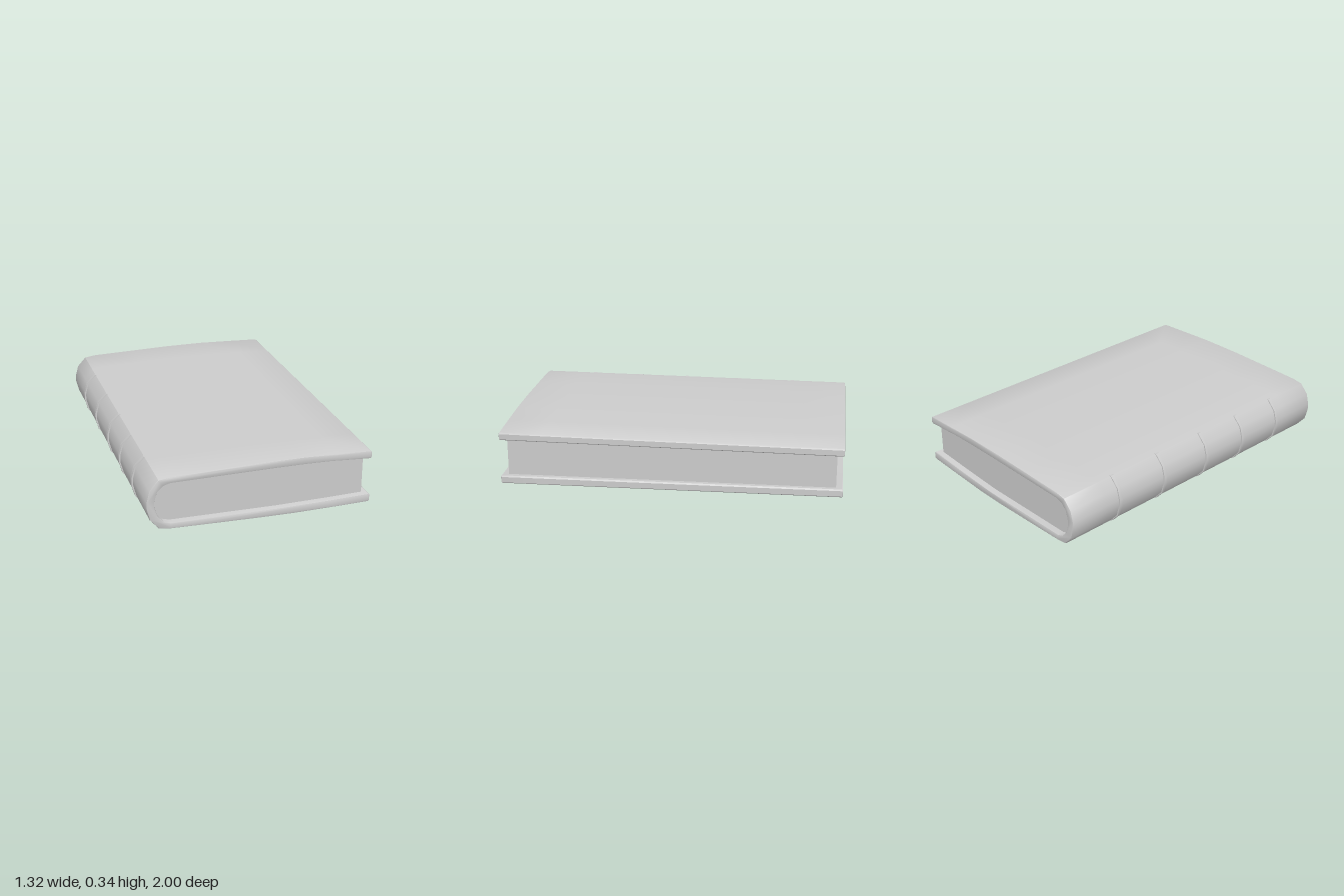
import * as THREE from 'three';
import { toCreasedNormals } from 'three/addons/utils/BufferGeometryUtils.js';

const material = new THREE.MeshStandardMaterial({ color: 0xcccccc });

// Rounded spine of the case, from upper to lower hinge, outside and inside
const spineOuter = [[-0.52, 0.328], [-0.585, 0.318], [-0.637, 0.262], [-0.655, 0.195],
  [-0.655, 0.155], [-0.637, 0.085], [-0.585, 0.025], [-0.52, 0.017]];
const spineInner = [[-0.52, 0.292], [-0.56, 0.28], [-0.595, 0.245], [-0.61, 0.19],
  [-0.61, 0.16], [-0.595, 0.105], [-0.56, 0.065], [-0.52, 0.053]];
// Slightly bowed boards, from hinge toward fore edge
const upperInner = [[0.05, 0.298], [0.25, 0.298], [0.4, 0.295]];
const lowerInner = [[0.1, 0.047], [0.4, 0.051]];

const toShape = (points) => new THREE.Shape(points.map(([x, y]) => new THREE.Vector2(x, y)));

// Extrude a profile along z, centred on the given z, with an optional small bevel
function extrude(name, points, length, z = 0, bevel = 0) {
  const depth = length - 2 * bevel;
  const geometry = new THREE.ExtrudeGeometry(toShape(points), {
    depth, steps: length > 1 ? 8 : 1, bevelEnabled: bevel > 0,
    bevelThickness: bevel, bevelSize: bevel, bevelOffset: -bevel, bevelSegments: 2,
  });
  geometry.translate(0, 0, z - depth / 2);
  warp(geometry);
  const mesh = new THREE.Mesh(toCreasedNormals(geometry, 0.65), material);
  mesh.name = name;
  return mesh;
}

// The lower board lifts a little toward its rear outer corner
function warp(geometry) {
  const p = geometry.attributes.position;
  for (let i = 0; i < p.count; i++) {
    if (p.getY(i) > 0.12) continue;
    const across = Math.max(0, (p.getX(i) - 0.1) / 0.555);
    p.setY(i, p.getY(i) + 0.022 * across * (1 - p.getZ(i)) / 2);
  }
}

export function createModel() {
  const book = new THREE.Group();
  book.name = 'book';

  // Case: both boards and the spine in one wrapped profile with eased fore edges
  const caseProfile = [
    [0.648, 0.326], [0.45, 0.334], [0.25, 0.341], [0, 0.341], [-0.25, 0.335],
    ...spineOuter,
    [-0.25, 0.01], [0, 0.004], [0.2, 0.002], [0.45, 0.005], [0.648, 0.009],
    [0.657, 0.016], [0.657, 0.05], [0.648, 0.057],
    ...[...lowerInner].reverse(),
    ...[...spineInner].reverse(),
    ...upperInner,
    [0.648, 0.28], [0.657, 0.287], [0.657, 0.319],
  ];
  book.add(extrude('cover', caseProfile, 2, 0, 0.006));

  // Page block set back from the board edges
  const pageProfile = [
    [0.62, 0.282], ...[...upperInner].reverse(), ...spineInner, ...lowerInner, [0.62, 0.056],
  ];
  book.add(extrude('pages', pageProfile, 1.92));

  // Raised bands: swell over the middle of the spine and taper into the hinges
  const arc = spineOuter.slice(1, -1);
  const swollen = arc.map(([x, y], i) => {
    const s = 0.004 + 0.005 * Math.sin((Math.PI * i) / (arc.length - 1));
    return [x - s, y + (y - 0.172) * 0.015];
  });
  const bandProfile = [...swollen, ...arc.map(([x, y]) => [x + 0.02, y]).reverse()];
  [-0.65, -0.3, 0.05, 0.365, 0.68].forEach((z, i) => {
    book.add(extrude(`spineBand${i + 1}`, bandProfile, 0.024, z));
  });

  return book;
}
